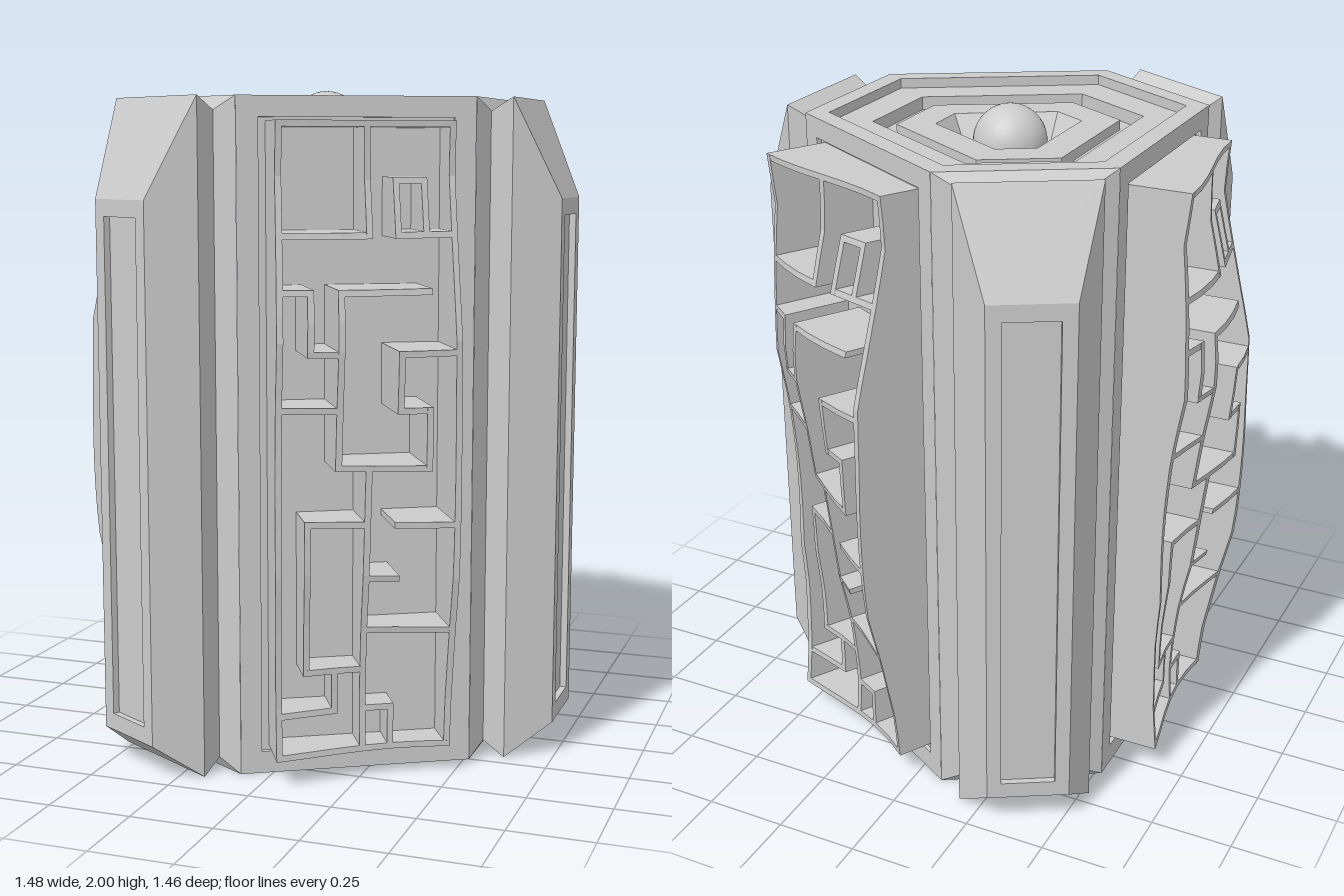
import * as THREE from 'three';
import { mergeGeometries } from 'three/addons/utils/BufferGeometryUtils.js';

const flat = new THREE.MeshStandardMaterial({ color: 0xcccccc, flatShading: true });
const smooth = new THREE.MeshStandardMaterial({ color: 0xcccccc });
const HEIGHT = 1.97;

// Skin a series of counter-clockwise loops (seen from +z) and cap the last one
function skin(loops) {
  const pos = [];
  const n = loops[0].length;
  const tri = (a, b, c) => pos.push(...a, ...b, ...c);
  for (let k = 0; k < loops.length - 1; k++) {
    const A = loops[k], B = loops[k + 1];
    for (let i = 0; i < n; i++) {
      const j = (i + 1) % n;
      tri(A[i], A[j], B[j]);
      tri(A[i], B[j], B[i]);
    }
  }
  const last = loops[loops.length - 1];
  for (let i = 1; i < n - 1; i++) tri(last[0], last[i], last[i + 1]);
  const g = new THREE.BufferGeometry();
  g.setAttribute('position', new THREE.Float32BufferAttribute(pos, 3));
  g.computeVertexNormals();
  return g;
}

// Rectangle loop: half width, bottom, top, distance from the axis
const rect = ([w, y0, y1, z]) => [[-w, y0, z], [w, y0, z], [w, y1, z], [-w, y1, z]];

// Hexagon with alternating side lengths, inset by d, at level z
function hex([d, z]) {
  const b = 0.545 - d, a = 0.49 - d;
  const h = (a - b / 2) / Math.sin(Math.PI / 3);
  const pts = [];
  for (let k = 0; k < 3; k++) {
    const c = Math.cos(k * Math.PI * 2 / 3), s = Math.sin(k * Math.PI * 2 / 3);
    for (const y of [-h, h]) pts.push([b * c - y * s, b * s + y * c, z]);
  }
  return pts;
}

// Wavy outer limit of the maze walls
const wave = [[0.08, 0.645], [0.22, 0.645], [0.45, 0.665], [0.62, 0.69], [0.9, 0.695],
  [1.1, 0.7], [1.3, 0.715], [1.55, 0.68], [1.75, 0.65], [1.9, 0.665]];
function reach(t, y) {
  let i = 0;
  while (i < wave.length - 2 && y > wave[i + 1][0]) i++;
  const [y0, n0] = wave[i], [y1, n1] = wave[i + 1];
  const f = THREE.MathUtils.clamp((y - y0) / (y1 - y0), 0, 1);
  return n0 + (n1 - n0) * f - 0.035 * (1 + Math.sin(6 * t + 3 * y + 0.59));
}

// Maze grid: 6 columns by 12 rows
const colX = (c) => -0.252 + c * 0.084;
const rowY = [1.89, 1.735, 1.585, 1.43, 1.26, 1.1, 0.935, 0.77, 0.61, 0.45, 0.33, 0.21, 0.09];
const shelves = [ // row, from column, to column
  [0, 0, 6], [1, 4, 5], [2, 0, 3], [2, 4, 6], [3, 0, 1], [3, 2, 5], [4, 1, 2], [4, 4, 6],
  [5, 0, 2], [5, 4, 5], [6, 2, 5], [7, 1, 3], [7, 4, 6], [8, 3, 4], [9, 3, 6],
  [10, 1, 3], [11, 0, 2], [11, 3, 4], [12, 0, 6]];
const uprights = [ // column, from row, to row
  [0, 0, 12], [6, 0, 12], [3, 0, 2], [4, 1, 2], [5, 1, 2], [1, 3, 4], [2, 3, 6], [4, 4, 5],
  [5, 5, 6], [3, 6, 9], [1, 7, 10], [3, 9, 12], [2, 10, 11], [4, 11, 12]];

function wall(x0, x1, y0, y1, sx, sy) {
  const T = 0.018;
  const g = new THREE.BoxGeometry(x1 - x0 + T, y1 - y0 + T, 1, sx, sy, 1);
  g.translate((x0 + x1) / 2, (y0 + y1) / 2, 0);
  const p = g.attributes.position;
  for (let i = 0; i < p.count; i++) {
    p.setZ(i, p.getZ(i) > 0 ? reach(p.getX(i), p.getY(i)) : 0.46);
  }
  const out = g.toNonIndexed();
  out.computeVertexNormals();
  return out;
}

function mazeGeometry() {
  return mergeGeometries([
    ...shelves.map(([r, a, b]) => wall(colX(a), colX(b), rowY[r], rowY[r], b - a, 1)),
    ...uprights.map(([c, a, b]) => wall(colX(c), colX(c), rowY[b], rowY[a], 1, (b - a) * 2)),
  ]);
}

export function createModel() {
  const model = new THREE.Group();
  const core = new THREE.Group();
  core.name = 'canister';
  core.position.x = -0.03;
  model.add(core);

  const add = (name, geometry, material = flat, angle = 0) => {
    const mesh = new THREE.Mesh(geometry, material);
    mesh.name = name;
    mesh.rotation.y = THREE.MathUtils.degToRad(angle);
    core.add(mesh);
    return mesh;
  };

  // Narrow sides: undercut pillar with bevelled ends and a sunken strip
  const pillar = skin([
    [0.251, 0, HEIGHT, 0.545], [0.18, 0.04, 1.93, 0.57], [0.2, 0, HEIGHT, 0.64],
    [0.123, 0.1, 1.68, 0.77], [0.08, 0.15, 1.63, 0.77], [0.08, 0.15, 1.63, 0.75]].map(rect));

  // Wide sides: framed recess holding a relief of maze walls
  const frame = skin([
    [0.346, 0, HEIGHT, 0.49], [0.283, 0.065, 1.91, 0.49], [0.283, 0.065, 1.91, 0.475]].map(rect));
  const maze = mazeGeometry();

  for (let k = 0; k < 3; k++) {
    add('pillar', pillar, flat, 90 + k * 120);
    add('panelFrame', frame, flat, 30 + k * 120);
    add('panelMaze', maze, flat, 30 + k * 120);
  }

  // Stepped end caps with a tapered well
  const cap = skin([
    [0, 0], [0.06, 0], [0.06, -0.03], [0.17, -0.03], [0.17, -0.07], [0.23, -0.07],
    [0.23, -0.04], [0.33, -0.04], [0.4, -0.17]].map(hex));
  add('topCap', cap.clone().rotateX(-Math.PI / 2).translate(0, HEIGHT, 0));
  add('bottomCap', cap.clone().rotateX(Math.PI / 2));

  // Ball resting in the top well
  add('ball', new THREE.SphereGeometry(0.11, 32, 20), smooth).position.y = 1.89;

  return model;
}
